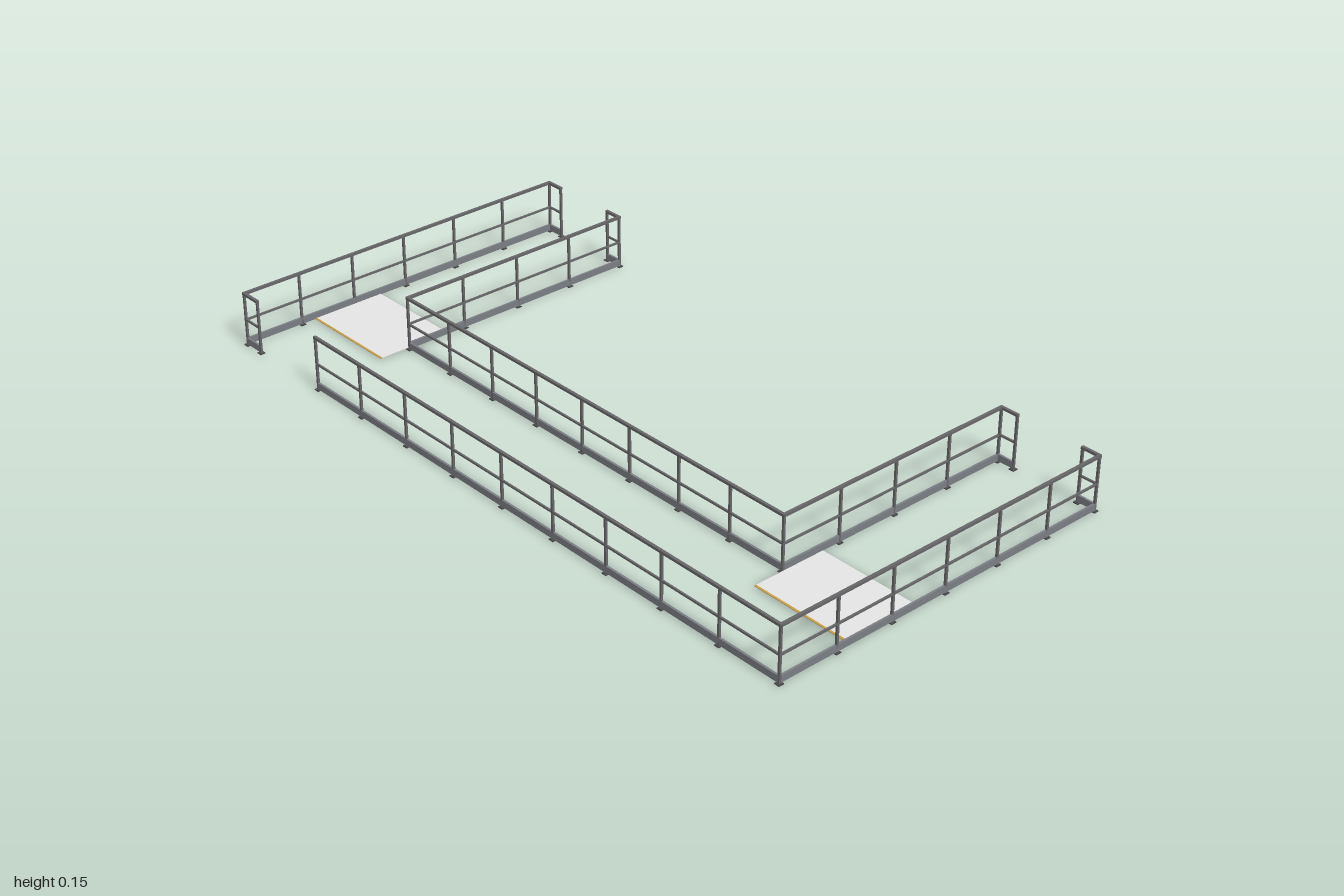
import * as THREE from 'three';

export function createModel() {
  const model = new THREE.Group();
  model.name = 'guardRailWalkway';

  const mat = (name, color) => {
    const m = new THREE.MeshStandardMaterial({ color });
    m.name = name;
    return m;
  };
  const steel = mat('grey steel', 0x68686a);
  const kick = mat('slate kick plate', 0x7b7f85);
  const foot = mat('dark foot', 0x4a4a4c);
  const panel = mat('pale grey panel', 0xe6e6e6);
  const trim = mat('ochre trim', 0xc9a04a);

  const POST = 0.006, TOP = 0.154;

  function box(parent, name, material, w, h, d, x, y, z) {
    const mesh = new THREE.Mesh(new THREE.BoxGeometry(w, h, d), material);
    mesh.name = name;
    mesh.position.set(x, y, z);
    parent.add(mesh);
  }

  // One straight run of railing, from [x, z] to [x, z], split into equal bays
  function railing(name, [x0, z0], [x1, z1], bays) {
    const run = new THREE.Group();
    run.name = name;
    const length = Math.hypot(x1 - x0, z1 - z0);
    run.position.set((x0 + x1) / 2, 0, (z0 + z1) / 2);
    run.rotation.y = Math.atan2(z0 - z1, x1 - x0);

    box(run, 'topRail', steel, length + POST, 0.007, 0.008, 0, TOP - 0.0035, 0);
    box(run, 'midRail', steel, length, 0.005, 0.005, 0, 0.075, 0);
    box(run, 'kickPlate', kick, length, 0.018, 0.006, 0, 0.013, 0);
    for (let i = 0; i <= bays; i++) {
      const x = -length / 2 + (length * i) / bays;
      box(run, 'post', steel, POST, TOP - 0.004, POST, x, TOP / 2 - 0.001, 0);
      box(run, 'footPlate', foot, 0.015, 0.0025, 0.015, x, 0.00125, 0);
    }
    model.add(run);
  }

  const OUT = 0.992, IN = 0.693, BACK = -0.51, FRONT = 0.51, MID = 0.21;

  // Long front runs, with an entrance gap at the right end of the outer one
  railing('outerFrontRailing', [-0.675, FRONT], [OUT, FRONT], 9);
  railing('entranceReturn', [-OUT, FRONT], [-0.932, FRONT], 1);
  railing('innerFrontRailing', [-IN, MID], [IN, MID], 8);

  for (const [side, s] of [['left', 1], ['right', -1]]) {
    // Side runs and their short returns at the back
    railing(side + 'OuterRailing', [s * OUT, BACK], [s * OUT, FRONT], 6);
    railing(side + 'InnerRailing', [s * IN, BACK], [s * IN, MID], 4);
    railing(side + 'OuterReturn', [s * OUT, BACK], [s * 0.942, BACK], 1);
    railing(side + 'InnerReturn', [s * IN, BACK], [s * 0.743, BACK], 1);

    // Floor panel between the rails, with a trim strip on its front edge
    box(model, side + 'FloorPanel', panel, 0.294, 0.0015, 0.209, s * 0.844, 0.005, 0.1905);
    box(model, side + 'PanelTrim', trim, 0.294, 0.0015, 0.006, s * 0.844, 0.005, 0.298);
  }
  return model;
}
